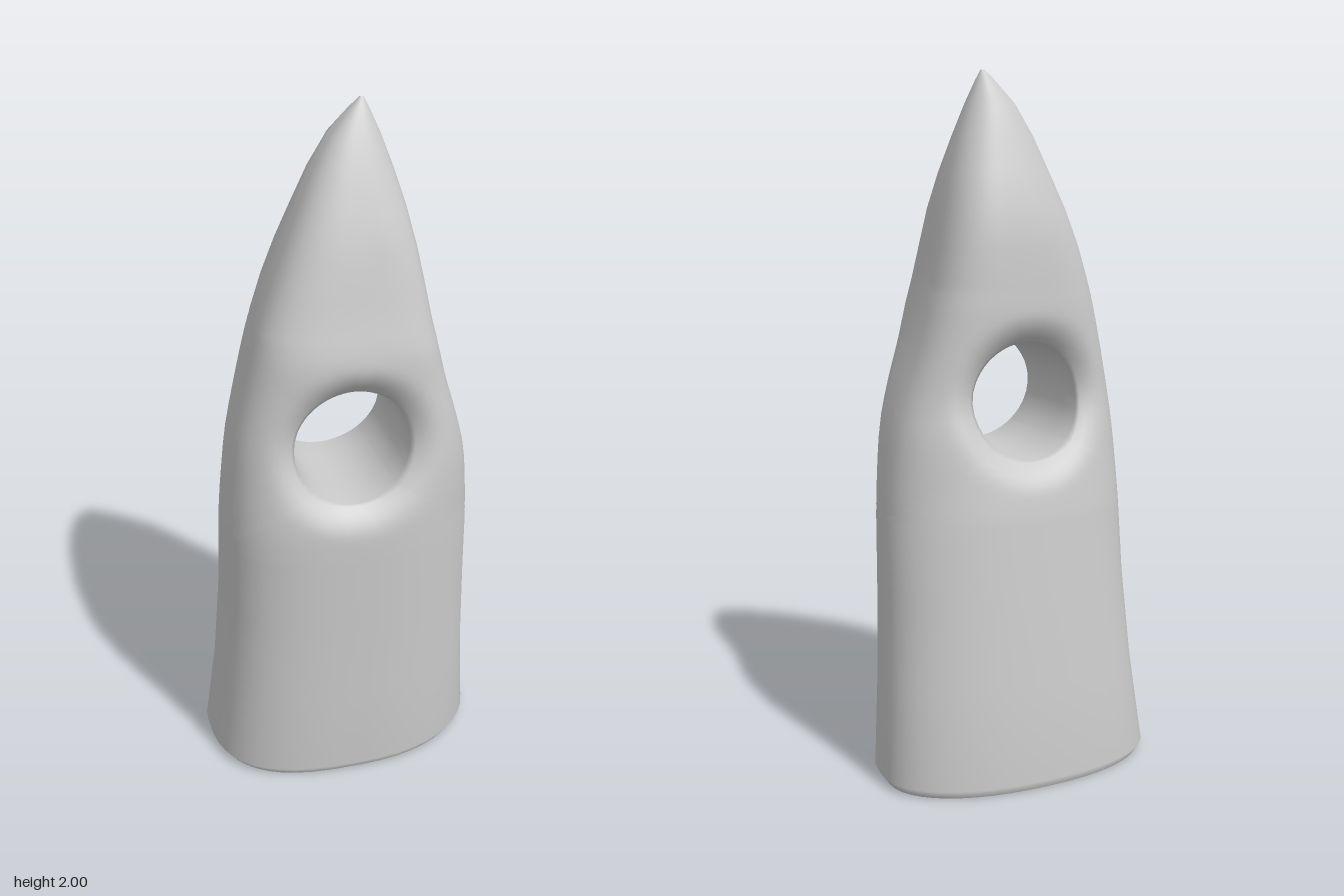
import * as THREE from 'three';
import { mergeVertices } from 'three/addons/utils/BufferGeometryUtils.js';

// Cross-sections by height: y, left x, right x, front z, back z, z of the side edges
const SECTIONS = [
  [0, -0.40, 0.395, 0.25, -0.275, -0.06],
  [0.025, -0.417, 0.412, 0.264, -0.288, -0.06],
  [0.3, -0.385, 0.39, 0.27, -0.265, -0.03],
  [0.55, -0.37, 0.377, 0.28, -0.24, 0],
  [0.76, -0.365, 0.37, 0.287, -0.22, 0.02],
  [0.87, -0.36, 0.36, 0.287, -0.202, 0.03],
  [1.0, -0.348, 0.34, 0.272, -0.175, 0.04],
  [1.1, -0.335, 0.312, 0.26, -0.152, 0.05],
  [1.25, -0.3, 0.264, 0.252, -0.15, 0.05],
  [1.35, -0.275, 0.239, 0.25, -0.152, 0.05],
  [1.42, -0.255, 0.222, 0.237, -0.15, 0.05],
  [1.52, -0.22, 0.203, 0.213, -0.147, 0.045],
  [1.62, -0.18, 0.183, 0.198, -0.135, 0.04],
  [1.72, -0.137, 0.16, 0.167, -0.105, 0.035],
  [1.82, -0.092, 0.13, 0.132, -0.072, 0.03],
  [1.91, -0.04, 0.097, 0.092, -0.036, 0.03],
  [1.97, 0.015, 0.07, 0.056, 0, 0.03],
  [2, 0.045, 0.055, 0.035, 0.025, 0.03],
];
const COLS = 24, SIDE_ROWS = 10, RINGS = 12;
const Y0 = 0.76, Y1 = 1.42;
const HOLE = { x: -0.02, y: 1.09, r: 0.165 };

// Section dimensions at any height, eased through the table
function section(y) {
  let k = 0;
  while (k < SECTIONS.length - 2 && SECTIONS[k + 1][0] < y) k++;
  const a = SECTIONS[k], b = SECTIONS[k + 1], span = b[0] - a[0], t = (y - a[0]) / span;
  const p = SECTIONS[Math.max(k - 1, 0)], q = SECTIONS[Math.min(k + 2, SECTIONS.length - 1)];
  const [, l, r, front, back, side] = a.map((v, i) => {
    const m0 = (b[i] - p[i]) / (b[0] - p[0]) * span, m1 = (q[i] - v) / (q[0] - a[0]) * span;
    return v + (b[i] - v) * t * t * (3 - 2 * t) + m0 * t * (1 - t) ** 2 - m1 * t * t * (1 - t);
  });
  return { c: (l + r) / 2, w: (r - l) / 2, front, back, side };
}

// Squareness of each corner: the stone is boxier around and above the hole
function power(y, xSign, zSign) {
  const boxy = THREE.MathUtils.smoothstep(y, 0.8, 1.3) * (1 - THREE.MathUtils.smoothstep(y, 1.5, 1.95));
  const [low, high] = zSign > 0
    ? (xSign > 0 ? [2.25, 4] : [2.8, 3])
    : (xSign > 0 ? [2.2, 3.2] : [2.25, 2.8]);
  return low + (high - low) * boxy;
}

// Point on the front (sign 1) or back (sign -1) face; u runs 0..1 from low x to high x
function surface(u, y, sign) {
  const s = section(y), c = -Math.cos(u * Math.PI), e = 2 / power(y, c, sign);
  const x = s.c + s.w * Math.sign(c) * Math.abs(c) ** e;
  const depth = (sign > 0 ? s.front : s.back) - s.side;
  let z = s.side + depth * Math.abs(Math.sin(u * Math.PI)) ** e;
  // Rounded lip around the hole
  const d = Math.hypot(x - HOLE.x, y - HOLE.y) - HOLE.r;
  const lip = Math.max(0, 1 - Math.max(d, 0) / 0.09);
  z -= sign * 0.045 * lip * lip;
  return [x, y, z];
}

// The u value where the face has a given x
function uAt(x, y, sign) {
  const s = section(y), X = THREE.MathUtils.clamp((x - s.c) / s.w, -1, 1);
  return Math.acos(-Math.sign(X) * Math.abs(X) ** (power(y, X, sign) / 2)) / Math.PI;
}

// Adds a grid of points as triangles
function addGrid(out, pts, flip) {
  for (let i = 0; i < pts.length - 1; i++) {
    for (let j = 0; j < pts[i].length - 1; j++) {
      const a = pts[i][j], b = pts[i + 1][j], c = pts[i + 1][j + 1], d = pts[i][j + 1];
      const tris = flip ? [a, c, b, a, d, c] : [a, b, c, a, c, d];
      for (const p of tris) out.push(...p);
    }
  }
}

function makeMesh(name, positions) {
  let g = new THREE.BufferGeometry();
  g.setAttribute('position', new THREE.Float32BufferAttribute(positions, 3));
  g = mergeVertices(g, 1e-4);
  g.computeVertexNormals();
  const mesh = new THREE.Mesh(g, new THREE.MeshStandardMaterial({ color: 0xcccccc }));
  mesh.name = name;
  return mesh;
}

// Counter-clockwise border of the panel that holds the hole, as [u, y]
function panelBorder() {
  const border = [];
  const h = Y1 - Y0;
  for (let i = 0; i < COLS; i++) border.push([i / COLS, Y0]);
  for (let i = 0; i < SIDE_ROWS; i++) border.push([1, Y0 + h * i / SIDE_ROWS]);
  for (let i = 0; i < COLS; i++) border.push([1 - i / COLS, Y1]);
  for (let i = 0; i < SIDE_ROWS; i++) border.push([0, Y1 - h * i / SIDE_ROWS]);
  border.push(border[0]);
  return border;
}

export function createModel() {
  const group = new THREE.Group();
  group.name = 'standingStone';
  const body = [], base = [];
  const cols = Array.from({ length: COLS + 1 }, (_, i) => i / COLS);
  const heights = SECTIONS.map((s) => s[0]);
  const lower = heights.filter((y) => y <= Y0), upper = heights.filter((y) => y >= Y1);
  const rims = {};

  for (const sign of [1, -1]) {
    // Plain faces below and above the hole
    for (const rows of [lower, upper]) {
      addGrid(body, cols.map((u) => rows.map((y) => surface(u, y, sign))), sign < 0);
    }
    // Panel around the hole: rings blending from circle to border
    const spokes = panelBorder().map(([u, y]) => {
      const a = Math.atan2((y - HOLE.y) / (Y1 - Y0), u - 0.5);
      const hx = HOLE.x + HOLE.r * Math.cos(a), hy = HOLE.y + HOLE.r * Math.sin(a);
      const hu = uAt(hx, hy, sign);
      return Array.from({ length: RINGS + 1 }, (_, k) => {
        const t = (k / RINGS) ** 1.4;
        return surface(hu + (u - hu) * t, hy + (y - hy) * t, sign);
      });
    });
    const rings = spokes[0].map((_, k) => spokes.map((s) => s[k]));
    addGrid(body, rings, sign < 0);
    rims[sign] = rings[0];
    // Flat underside
    addGrid(base, cols.map((u) => [[0, 0, -0.02], surface(u, 0, sign)]), sign < 0);
  }

  // Wall of the hole, front rim to back rim
  addGrid(body, rims[1].map((p, i) => [0, 0.25, 0.5, 0.75, 1].map((t) =>
    p.map((v, n) => v + (rims[-1][i][n] - v) * t))), false);

  group.add(makeMesh('stoneBody', body), makeMesh('underside', base));
  return group;
}
